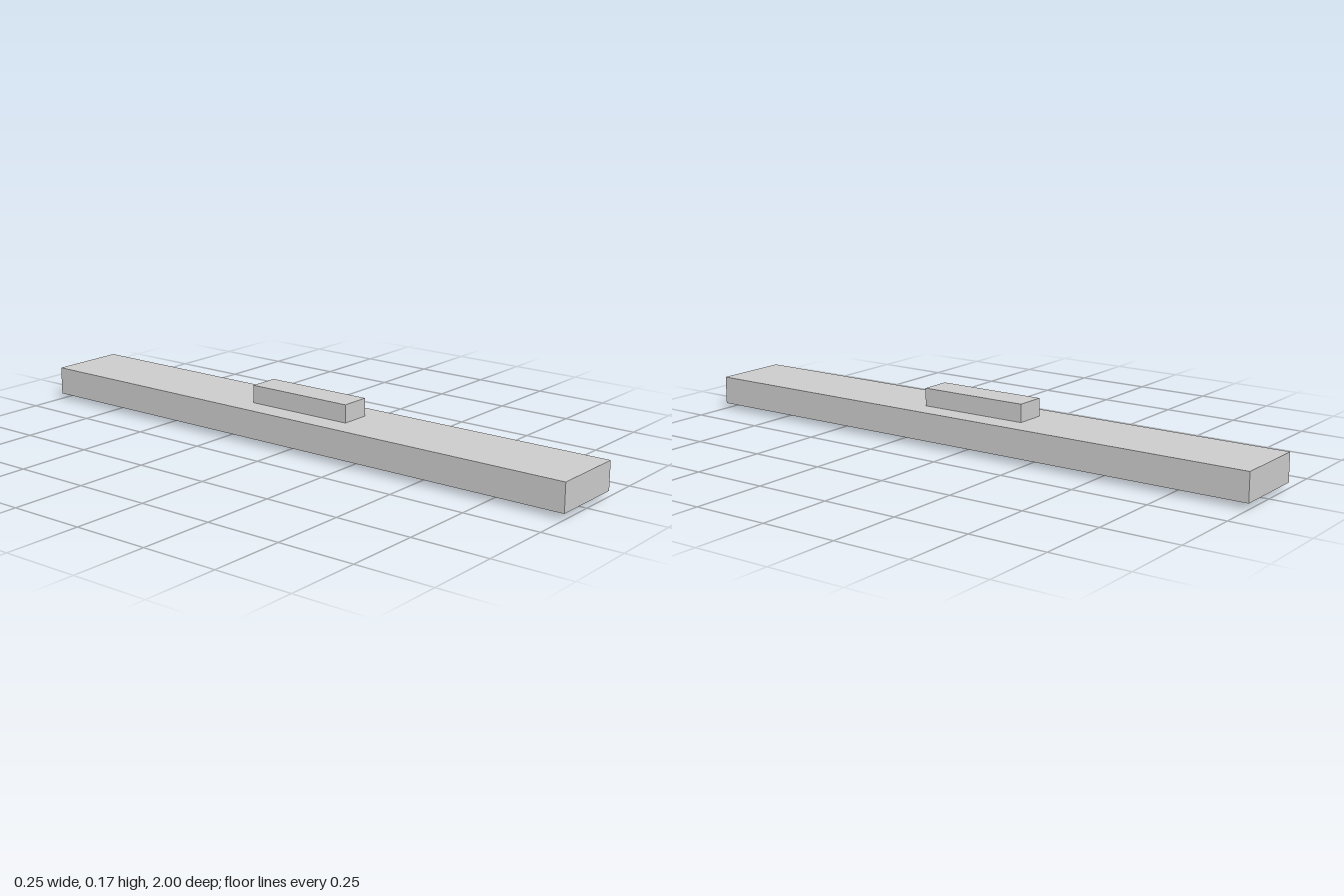
import * as THREE from 'three';

const grey = new THREE.MeshStandardMaterial({ color: 0xcccccc });

function add(parent, name, geometry, x = 0, y = 0, z = 0) {
  const mesh = new THREE.Mesh(geometry, grey);
  mesh.name = name;
  mesh.position.set(x, y, z);
  parent.add(mesh);
  return mesh;
}

function rectangle(path, halfWidth, halfLength) {
  path.moveTo(-halfWidth, -halfLength);
  path.lineTo(halfWidth, -halfLength);
  path.lineTo(halfWidth, halfLength);
  path.lineTo(-halfWidth, halfLength);
  path.closePath();
  return path;
}

export function createModel() {
  const model = new THREE.Group();
  model.name = 'ceilingLight';

  // Housing: a rim open at the bottom, closed by a top plate
  const bottom = 0.018, top = 0.11, plate = 0.02;
  const rim = rectangle(new THREE.Shape(), 0.126, 1);
  rim.holes.push(rectangle(new THREE.Path(), 0.097, 0.98));
  const rimGeometry = new THREE.ExtrudeGeometry(rim, {
    depth: top - plate - bottom, bevelEnabled: false,
  });
  rimGeometry.rotateX(-Math.PI / 2);
  add(model, 'housingRim', rimGeometry, 0, bottom, 0);
  add(model, 'housingTop', new THREE.BoxGeometry(0.252, plate, 2), 0, top - plate / 2, 0);

  // Mounting box on top
  add(model, 'mountingBox', new THREE.BoxGeometry(0.1, 0.058, 0.37), 0, 0.139, 0);

  // Two lamp tubes with slightly rounded ends and contact pins
  const r = 0.041, half = 0.977;
  const profile = [
    [0, -half], [r - 0.008, -half], [r - 0.002, -half + 0.003], [r, -half + 0.01],
    [r, half - 0.01], [r - 0.002, half - 0.003], [r - 0.008, half], [0, half],
  ].map(([x, y]) => new THREE.Vector2(x, y));
  const tubeGeometry = new THREE.LatheGeometry(profile, 40).rotateX(Math.PI / 2);
  const pinGeometry = new THREE.CylinderGeometry(0.005, 0.005, 0.012, 12).rotateX(Math.PI / 2);

  for (const side of [-1, 1]) {
    const lamp = new THREE.Group();
    lamp.name = side > 0 ? 'leftLamp' : 'rightLamp';
    lamp.position.set(side * 0.05, r, 0);
    add(lamp, 'tube', tubeGeometry);
    for (const end of [-1, 1]) {
      for (const dx of [-0.013, 0.013]) add(lamp, 'contactPin', pinGeometry, dx, 0, end * 0.98);
    }
    model.add(lamp);
  }

  return model;
}
